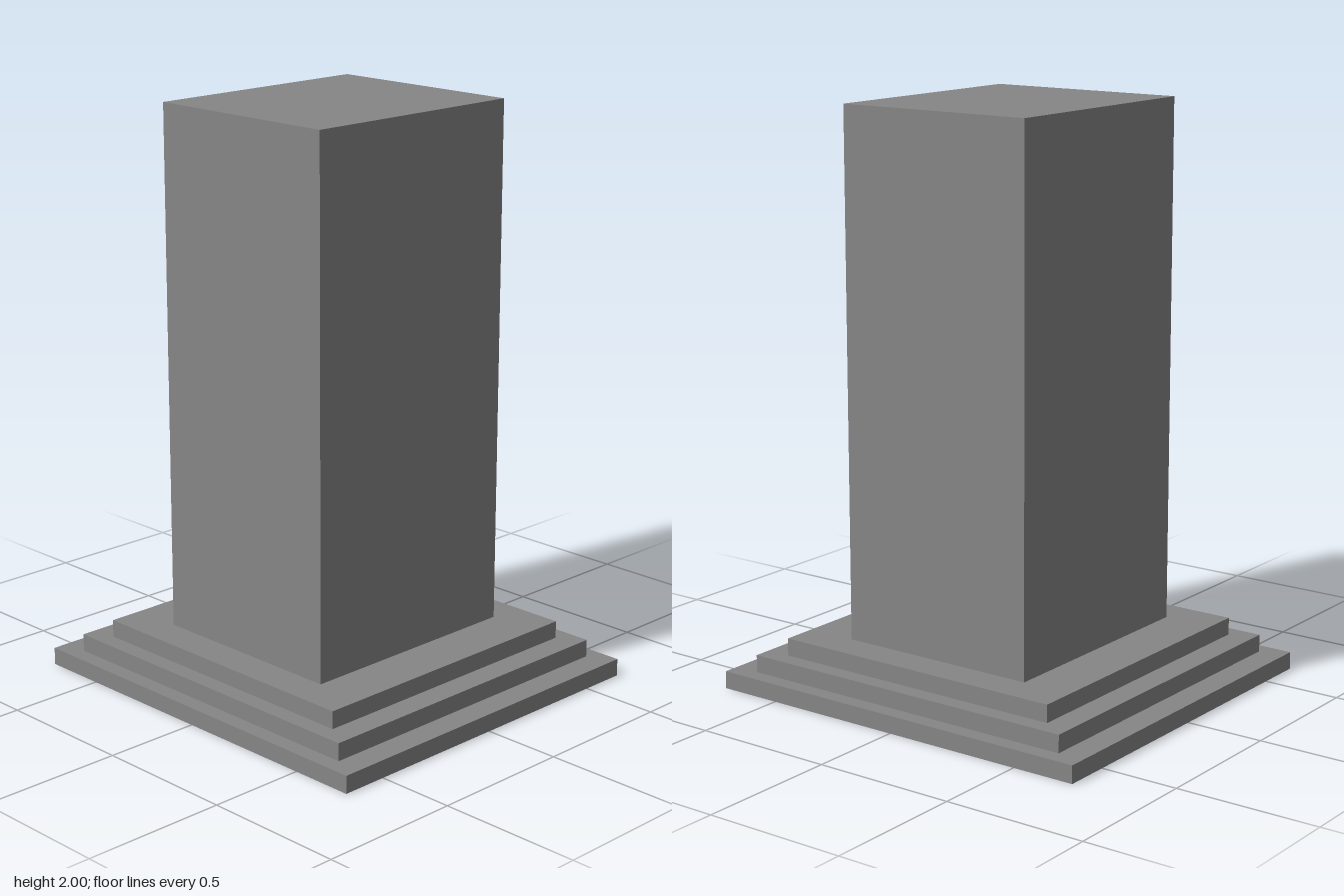
import * as THREE from 'three';

export function createModel() {
  const model = new THREE.Group();
  model.name = 'steppedPillar';

  const stone = new THREE.MeshStandardMaterial({ color: 0x868686 });
  stone.name = 'grey stone';

  // Stacked blocks from the ground up: name, width, height, depth
  const blocks = [
    ['bottomStep', 1.325, 0.061, 1.449],
    ['middleStep', 1.21, 0.061, 1.265],
    ['topStep', 1.087, 0.061, 1.087],
    ['pillar', 0.842, 1.817, 0.727],
  ];

  let y = 0;
  for (const [name, width, height, depth] of blocks) {
    const block = new THREE.Mesh(new THREE.BoxGeometry(width, height, depth), stone);
    block.name = name;
    block.position.y = y + height / 2;
    model.add(block);
    y += height;
  }

  return model;
}
